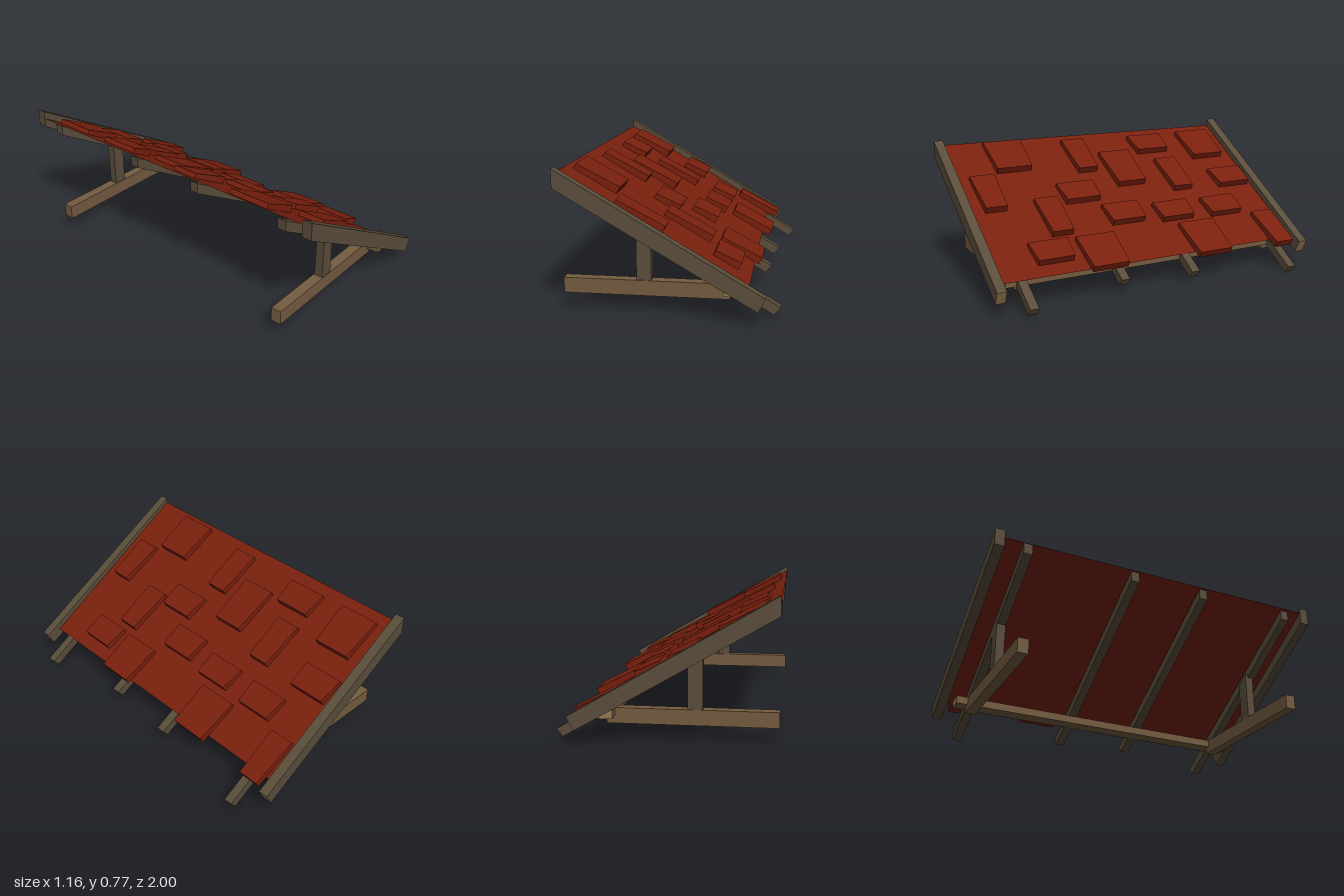
import * as THREE from 'three';

const material = (name, color) => {
  const m = new THREE.MeshStandardMaterial({ color, side: THREE.DoubleSide, flatShading: true });
  m.name = name;
  return m;
};

export function createModel() {
  const group = new THREE.Group();
  const red = material('roof red', 0x7a200e);
  const darkWood = material('weathered wood', 0x5a4d3b);
  const brownWood = material('brown wood', 0x745c40);
  const cutWood = material('cut wood ends', 0x967a50);

  const add = (name, geometry, mat) => {
    const mesh = new THREE.Mesh(geometry, mat);
    mesh.name = name;
    group.add(mesh);
    return mesh;
  };

  // A timber: an outline in x and y, extruded from z0 to z1
  const timber = (name, points, z0, z1, mats) => {
    const shape = new THREE.Shape(points.map(([x, y]) => new THREE.Vector2(x, y)));
    const geometry = new THREE.ExtrudeGeometry(shape, { depth: z1 - z0, bevelEnabled: false });
    return add(name, geometry.translate(0, 0, z0), mats);
  };
  const block = (name, x0, x1, y0, y1, z0, z1, mats) =>
    timber(name, [[x0, y0], [x1, y0], [x1, y1], [x0, y1]], z0, z1, mats);

  // Thin plate closing the low end of a sloping timber
  const endPlate = (name, bottom, top, z0, z1, mat) => {
    const dx = 0.0015, dy = -0.0009;
    timber(name, [bottom, [bottom[0] + dx, bottom[1] + dy], [top[0] + dx, top[1] + dy], top], z0, z1, mat);
  };

  // Side beams along both edges of the roof
  for (const [z0, z1] of [[0.945, 1], [-1, -0.945]]) {
    const top = [0.48, 0.15], bottom = [0.443, 0.077];
    timber('sideBeam', [[-0.58, 0.77], [-0.58, 0.67], bottom, top], z0, z1, darkWood);
    endPlate('sideBeamEnd', bottom, top, z0, z1, cutWood);
  }

  // Rafters of uneven length: centre z, low end x
  const rafterTop = x => 0.041 + (0.577 - x) * 0.589;
  for (const [z, end] of [[-0.815, 0.577], [-0.185, 0.5], [0.255, 0.475], [0.825, 0.55]]) {
    const top = [end, rafterTop(end)], bottom = [end - 0.034, rafterTop(end) - 0.041];
    const high = rafterTop(-0.58);
    timber('rafter', [[-0.58, high], [-0.58, high - 0.061], bottom, top], z - 0.025, z + 0.025, darkWood);
    endPlate('rafterEnd', bottom, top, z - 0.025, z + 0.025, brownWood);
  }

  // Cross beam, base beams and posts
  block('crossBeam', 0.265, 0.355, 0.12, 0.165, -0.91, 0.91, [cutWood, brownWood]);
  block('baseBeam', -0.58, 0.295, 0.083, 0.165, 0.78, 0.84, brownWood);
  block('baseBeam', -0.58, 0.308, 0.083, 0.165, -0.845, -0.785, brownWood);
  for (const [x, z] of [[-0.195, 0.81], [-0.19, -0.815]]) {
    timber('post', [[x, 0.165], [x + 0.078, 0.165], [x + 0.078, 0.41], [x, 0.455]], z - 0.025, z + 0.025, darkWood);
  }

  // Slightly twisted roof sheet
  const roofY = (x, z) => {
    const high = 0.7325 + 0.0079 * z;
    return high + (0.16 - high) * (x + 0.58) / 0.97;
  };
  const sheet = new THREE.PlaneGeometry(0.97, 1.9, 4, 4).rotateX(-Math.PI / 2).translate(-0.095, 0, 0);
  const sheetPos = sheet.attributes.position;
  for (let i = 0; i < sheetPos.count; i++) sheetPos.setY(i, roofY(sheetPos.getX(i), sheetPos.getZ(i)));
  sheet.computeVertexNormals();
  add('roofSheet', sheet, red);

  // Shingles: high edge x, low edge x, z from, z to
  const shingles = [
    [-0.515, -0.27, -0.88, -0.64], [-0.175, -0.02, -0.925, -0.685], [0.195, 0.465, -0.92, -0.775],
    [0.04, 0.19, -0.725, -0.49], [-0.51, -0.355, -0.505, -0.265], [-0.3, -0.035, -0.505, -0.355],
    [0.2, 0.45, -0.48, -0.24], [0.035, 0.18, -0.385, -0.15], [-0.395, -0.115, -0.21, 0],
    [0, 0.155, -0.06, 0.175], [-0.52, -0.25, 0.055, 0.205], [-0.185, -0.03, 0.145, 0.385],
    [0.195, 0.43, 0.195, 0.435], [-0.095, 0.175, 0.415, 0.565], [-0.55, -0.305, 0.47, 0.71],
    [0.19, 0.34, 0.485, 0.72], [-0.3, -0.035, 0.73, 0.88],
  ];
  for (const [x0, x1, z0, z1] of shingles) {
    // Wedge that is thicker and a little narrower at its low end
    const geometry = new THREE.BoxGeometry(1, 1, 1);
    const p = geometry.attributes.position;
    const mid = (z0 + z1) / 2;
    for (let i = 0; i < p.count; i++) {
      const low = p.getX(i) > 0, upper = p.getY(i) > 0;
      const z = mid + p.getZ(i) * (z1 - z0 - (low ? 0.024 : 0));
      const x = low ? x1 - 0.02 : x0;
      const lift = upper ? (low ? 0.042 : 0.028) : 0;
      p.setXYZ(i, x + lift * 0.5, roofY(x, mid) + 0.002 + lift * 0.86, z);
    }
    geometry.computeVertexNormals();
    add('shingle', geometry, red);
  }
  return group;
}
